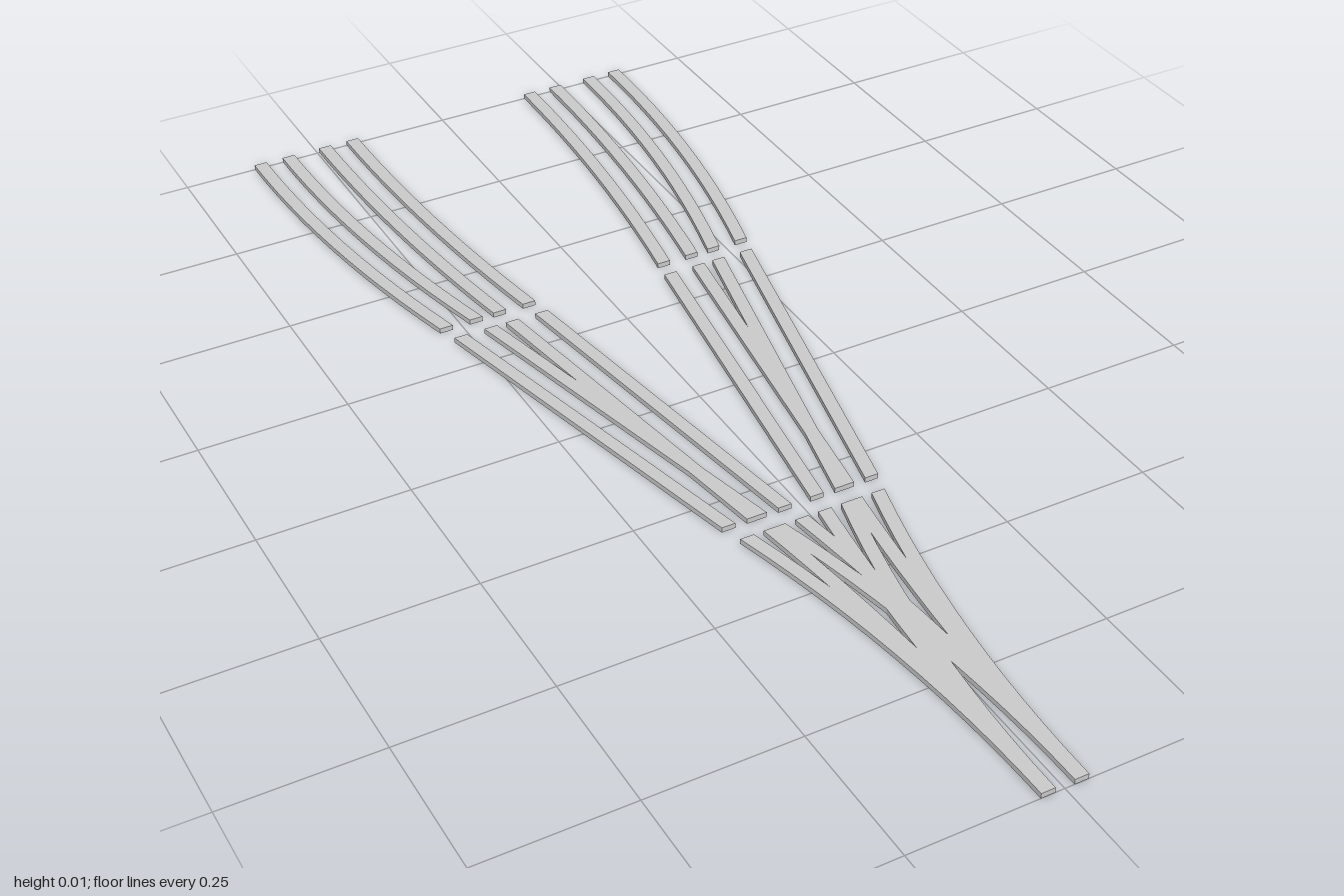
import * as THREE from 'three';

const WIDTH = 0.023, HEIGHT = 0.009, HALF_GAUGE = 0.027;
const material = new THREE.MeshStandardMaterial({ color: 0xcccccc, flatShading: true });

// One rail: a long bar whose vertices are shifted sideways along the track line
function makeRail(zFrom, zTo, steps, centre, offset) {
  const length = zFrom - zTo;
  const geometry = new THREE.BoxGeometry(WIDTH, HEIGHT, length, 1, 1, steps);
  geometry.translate(offset, HEIGHT / 2, (zFrom + zTo) / 2);
  const pos = geometry.attributes.position;
  for (let i = 0; i < pos.count; i++) {
    const t = (zFrom - pos.getZ(i)) / length;
    pos.setX(i, pos.getX(i) + centre(t));
  }
  geometry.computeVertexNormals();
  return new THREE.Mesh(geometry, material);
}

// Track centre lines on the left side, from the front end (t = 0) to the back end (t = 1)
const easeIn = (a, b) => t => a + (b - a) * t * t;
const straight = (a, b) => t => a + (b - a) * t;
const easeOut = (a, b) => t => b - (b - a) * (1 - t) * (1 - t);

const sections = [
  { name: 'frontSwitch', z: [1, 0.353], steps: 12,
    tracks: { outer: easeIn(0, 0.087), inner: easeIn(0, 0.047) } },
  { name: 'middleSwitch', z: [0.317, -0.325], steps: 6,
    tracks: { outer: straight(0.098, 0.242), inner: straight(0.055, 0.149) } },
  { name: 'rearCurves', z: [-0.36, -1], steps: 12,
    tracks: { outer: easeOut(0.252, 0.333), inner: easeOut(0.155, 0.208) } },
];

export function createModel() {
  const model = new THREE.Group();
  model.name = 'branchingRailTracks';
  for (const { name, z, steps, tracks } of sections) {
    const section = new THREE.Group();
    section.name = name;
    for (const [label, line] of Object.entries(tracks)) {
      for (const side of [1, -1]) {
        // Pair of rails forming one track
        const track = new THREE.Group();
        track.name = `${label}Track${side > 0 ? 'Left' : 'Right'}`;
        for (const rail of [1, -1]) {
          const mesh = makeRail(z[0], z[1], steps, t => side * line(t), rail * HALF_GAUGE);
          mesh.name = rail > 0 ? 'leftRail' : 'rightRail';
          track.add(mesh);
        }
        section.add(track);
      }
    }
    model.add(section);
  }
  return model;
}
